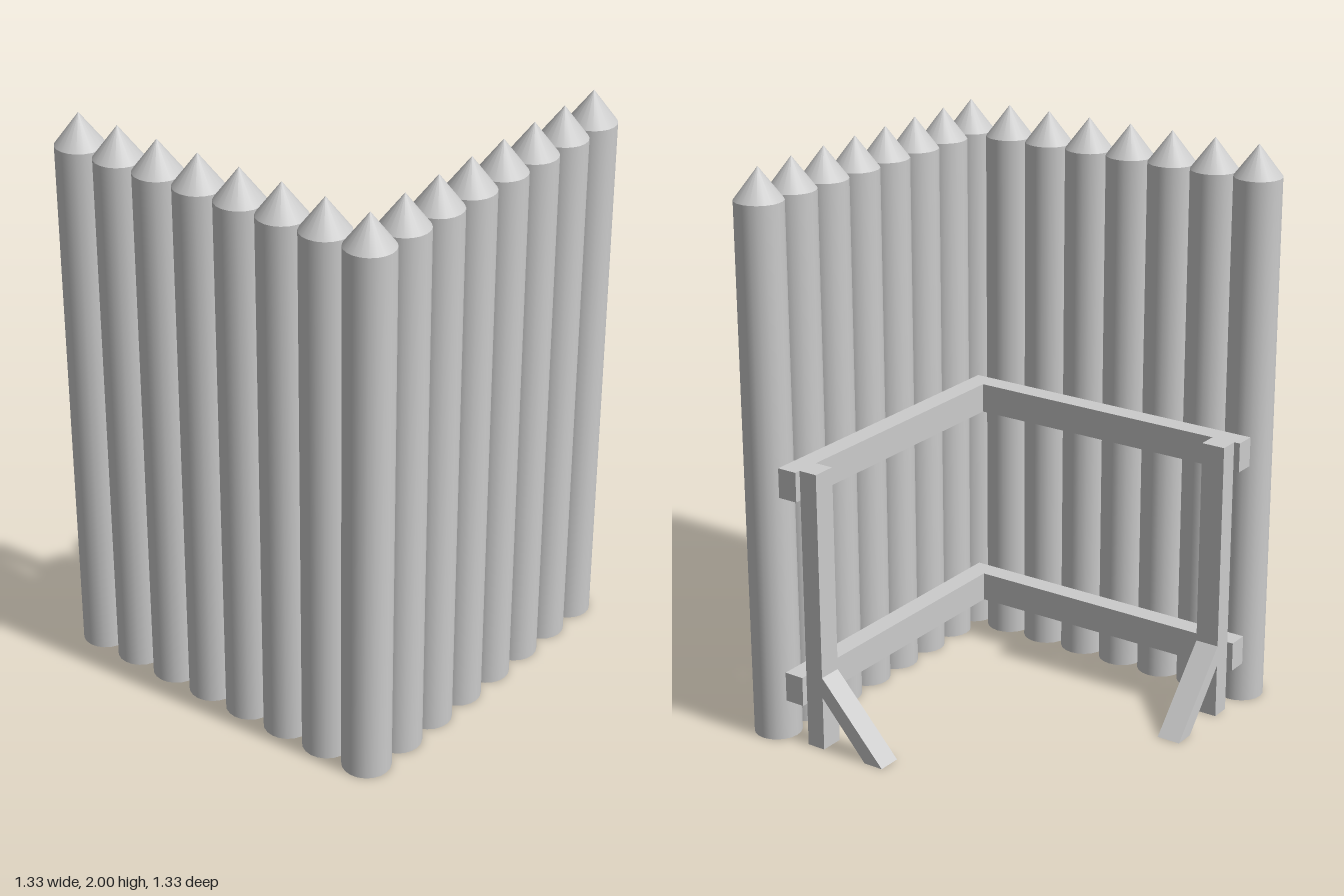
import * as THREE from 'three';

const material = new THREE.MeshStandardMaterial({ color: 0xcccccc });
const R = 0.0833, SPACING = 0.1667, WALL = 0.584;
const BODY = 1.89, TOP = 2, SIDES = 20;

function add(parent, name, geometry, x = 0, y = 0, z = 0) {
  const mesh = new THREE.Mesh(geometry, material);
  mesh.name = name;
  mesh.position.set(x, y, z);
  parent.add(mesh);
  return mesh;
}

// Box given by its extents
function addBox(parent, name, [x0, x1], [y0, y1], [z0, z1]) {
  add(parent, name, new THREE.BoxGeometry(x1 - x0, y1 - y0, z1 - z0),
    (x0 + x1) / 2, (y0 + y1) / 2, (z0 + z1) / 2);
}

// Sharpened log standing on the ground
function addLog(parent, x, z) {
  const log = new THREE.Group();
  log.name = 'log';
  add(log, 'trunk', new THREE.CylinderGeometry(R, R, BODY, SIDES), 0, BODY / 2);
  add(log, 'point', new THREE.ConeGeometry(R, TOP - BODY, SIDES), 0, (BODY + TOP) / 2);
  log.position.set(x, 0, z);
  parent.add(log);
}

// Wall along x facing +z; dir points from the corner to the free end
function buildWall(name, dir, firstLog, railStart) {
  const wall = new THREE.Group();
  wall.name = name;
  const span = (a, b) => (dir > 0 ? [a, b] : [-b, -a]);

  for (let i = firstLog; i < 8; i++) addLog(wall, dir * (-WALL + i * SPACING), WALL);

  // Horizontal rails
  for (const y of [[0.155, 0.26], [0.9, 1.005]]) {
    addBox(wall, 'rail', span(railStart, 0.637), y, [0.425, 0.498]);
  }

  // Upright post behind the rails
  addBox(wall, 'post', span(0.53, 0.615), [0, 1.005], [0.357, 0.425]);

  // Slanted brace, cut flush with post and ground
  const profile = new THREE.Shape([
    new THREE.Vector2(0.357, 0.27), new THREE.Vector2(0.11, 0),
    new THREE.Vector2(0.183, 0), new THREE.Vector2(0.357, 0.195),
  ]);
  const brace = new THREE.ExtrudeGeometry(profile, { depth: 0.085, bevelEnabled: false });
  brace.translate(0, 0, -0.0425).rotateY(-Math.PI / 2);
  add(wall, 'brace', brace, dir * 0.5725);
  return wall;
}

export function createModel() {
  const model = new THREE.Group();
  model.name = 'palisadeCorner';
  model.add(buildWall('frontWall', 1, 0, -0.498));

  // The side wall shares the corner log with the front wall
  const side = buildWall('sideWall', -1, 1, -0.425);
  side.rotation.y = -Math.PI / 2;
  model.add(side);
  return model;
}
